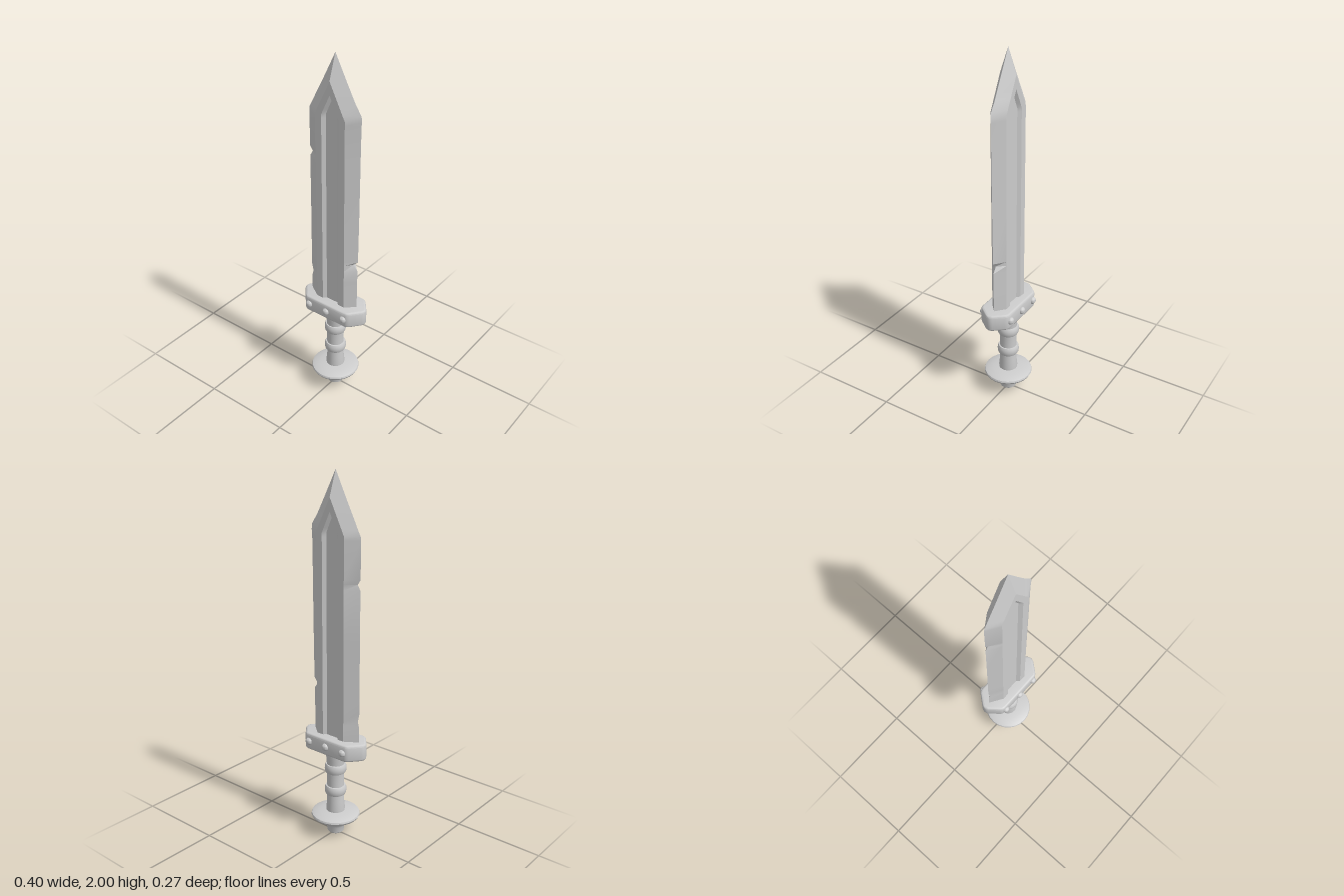
import * as THREE from 'three';
import { toCreasedNormals } from 'three/addons/utils/BufferGeometryUtils.js';

const steel = new THREE.MeshStandardMaterial({ color: 0xcccccc });
steel.name = 'grey steel';

function add(group, name, geometry, crease = 0.6) {
  const mesh = new THREE.Mesh(toCreasedNormals(geometry, crease), steel);
  mesh.name = name;
  group.add(mesh);
  return mesh;
}

const clamp01 = (t) => Math.min(1, Math.max(0, t));

// Bevelled blade with a sunken fuller on both faces and a few nicks in the edges
function bladeGeometry() {
  // height, left (-x) half width, right (+x) half width
  const rows = [
    [0.56, 0.16, 0.142], [0.68, 0.16, 0.145], [0.71, 0.152, 0.145], [0.76, 0.162, 0.145],
    [0.83, 0.161, 0.146], [0.865, 0.161, 0.122], [0.89, 0.161, 0.148], [1.15, 0.16, 0.151],
    [1.42, 0.16, 0.153], [1.45, 0.143, 0.153], [1.475, 0.16, 0.153], [1.67, 0.161, 0.155],
    [1.69, 0.158, 0.158], [1.72, 0.142, 0.154], [1.77, 0.117, 0.12], [1.8, 0.101, 0.104],
    [1.87, 0.065, 0.067], [2, 0, 0],
  ];
  const position = [], index = [], n = 14;
  rows.forEach(([y, left, right], r) => {
    const flat = 0.09 * clamp01((1.87 - y) / 0.18);
    const outer = 0.052 * clamp01((1.8 - y) / 0.11);
    const inner = 0.036 * clamp01((1.77 - y) / 0.08);
    const thick = 0.045 * clamp01((2 - y) / 0.13);
    const floor = y < 1.79 ? thick - 0.016 : thick;
    const half = [[flat, thick], [outer, thick], [inner, floor]];
    const front = [...half.map(([x, z]) => [-x, z]), ...half.slice().reverse()];
    const back = front.slice().reverse().map(([x, z]) => [x, -z]);
    const ring = [[-left, 0], ...front, [right, 0], ...back];
    ring.forEach(([x, z]) => position.push(x, y, z));
    if (r === 0) return;
    for (let i = 0; i < n; i++) {
      const a = (r - 1) * n + i, b = (r - 1) * n + (i + 1) % n;
      index.push(a, b, b + n, a, b + n, a + n);
    }
  });
  const geometry = new THREE.BufferGeometry();
  geometry.setAttribute('position', new THREE.Float32BufferAttribute(position, 3));
  geometry.setIndex(index);
  return geometry;
}

// Elongated hexagonal crossguard with softened corners
function guardGeometry() {
  const bevel = 0.012;
  const shape = new THREE.Shape();
  shape.moveTo(0.184, -0.015);
  shape.quadraticCurveTo(0.194, 0, 0.184, 0.015);
  shape.lineTo(0.143, 0.065);
  shape.quadraticCurveTo(0.134, 0.076, 0.12, 0.076);
  shape.lineTo(-0.12, 0.076);
  shape.quadraticCurveTo(-0.134, 0.076, -0.143, 0.065);
  shape.lineTo(-0.184, 0.015);
  shape.quadraticCurveTo(-0.194, 0, -0.184, -0.015);
  shape.lineTo(-0.143, -0.065);
  shape.quadraticCurveTo(-0.134, -0.076, -0.12, -0.076);
  shape.lineTo(0.12, -0.076);
  shape.quadraticCurveTo(0.134, -0.076, 0.143, -0.065);
  shape.closePath();
  const geometry = new THREE.ExtrudeGeometry(shape, {
    depth: 0.094 - 2 * bevel, bevelEnabled: true, bevelThickness: bevel,
    bevelSize: bevel, bevelSegments: 3, curveSegments: 4,
  });
  return geometry.rotateX(-Math.PI / 2).translate(0, 0.5 + bevel, 0);
}

const lathe = (points) =>
  new THREE.LatheGeometry(points.map(([r, y]) => new THREE.Vector2(r, y)), 24);

export function createModel() {
  const sword = new THREE.Group();
  sword.name = 'sword';

  add(sword, 'blade', bladeGeometry(), 0.45);
  add(sword, 'crossguard', guardGeometry());

  // Rivets on the front and back of the guard
  for (const x of [-0.115, 0, 0.115]) {
    for (const side of [1, -1]) {
      const rivet = add(sword, 'rivet', new THREE.SphereGeometry(0.021, 16, 10));
      rivet.position.set(x, 0.549, side * 0.084);
    }
  }

  // Grip flaring slightly under the guard
  add(sword, 'grip', lathe([
    [0.05, 0.12], [0.052, 0.15], [0.047, 0.2], [0.047, 0.32], [0.049, 0.45],
    [0.056, 0.485], [0.056, 0.505],
  ]));

  // Rounded bands around the grip
  for (const y of [0.265, 0.397]) {
    add(sword, 'gripBand', lathe([
      [0.045, y - 0.026], [0.054, y - 0.025], [0.059, y - 0.014], [0.06, y],
      [0.059, y + 0.014], [0.054, y + 0.025], [0.045, y + 0.026],
    ]));
  }

  // Mushroom-shaped pommel with a small foot
  add(sword, 'pommel', lathe([
    [0, 0], [0.038, 0], [0.045, 0.007], [0.05, 0.04], [0.058, 0.058], [0.08, 0.075],
    [0.112, 0.092], [0.13, 0.103], [0.135, 0.113], [0.132, 0.122], [0.118, 0.128],
    [0.085, 0.134], [0.05, 0.138], [0, 0.138],
  ]));

  return sword;
}
